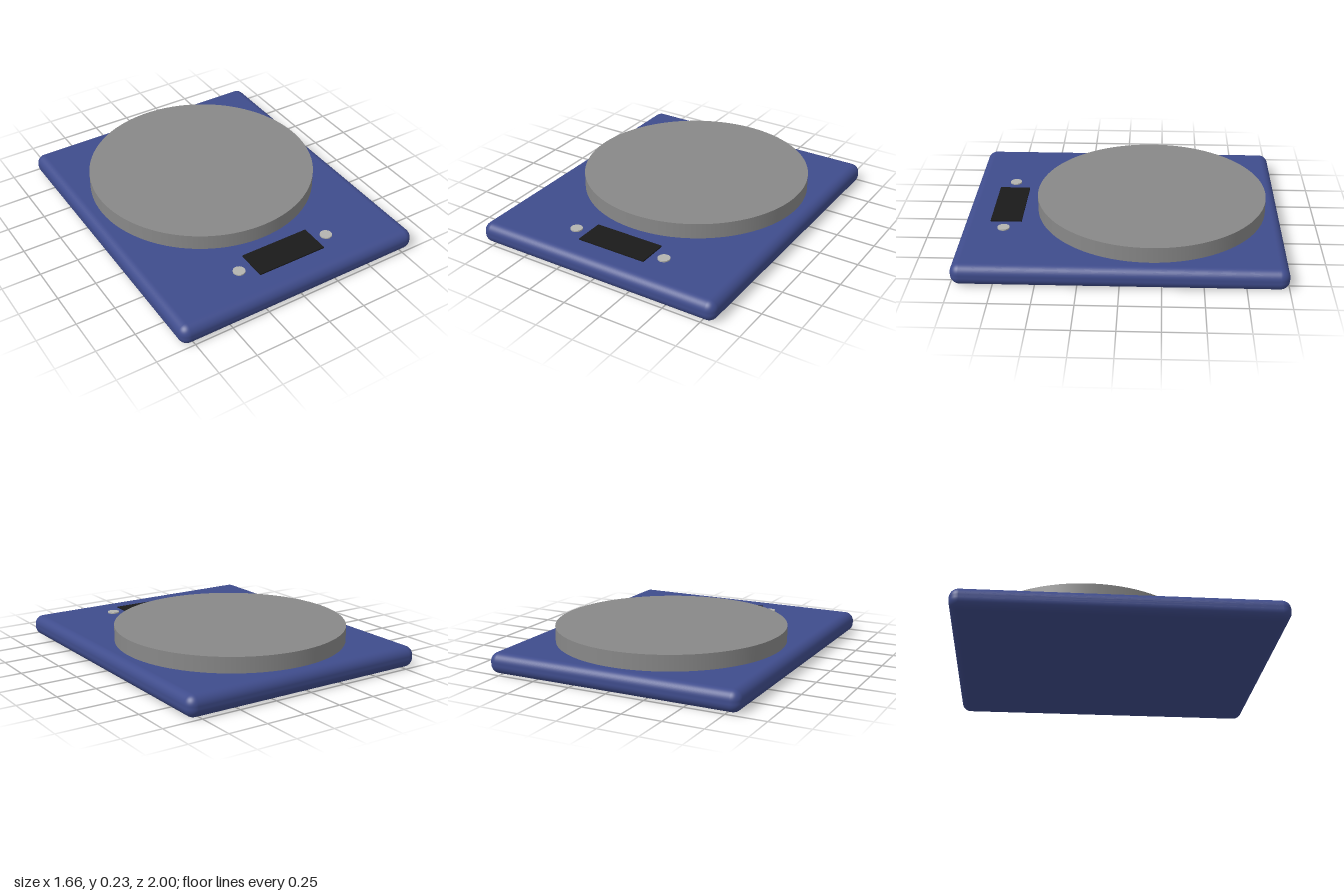
import * as THREE from 'three';
import { RoundedBoxGeometry } from 'three/addons/geometries/RoundedBoxGeometry.js';

const BODY_TOP = 0.133;

export function createModel() {
  const scale = new THREE.Group();
  scale.name = 'kitchenScale';

  const blue = new THREE.MeshStandardMaterial({ color: 0x3f4c8c });
  const steel = new THREE.MeshStandardMaterial({ color: 0x888888 });
  const black = new THREE.MeshStandardMaterial({ color: 0x1a1a1a });
  const silver = new THREE.MeshStandardMaterial({ color: 0xb4b4b0 });

  const add = (name, geometry, material, x, y, z) => {
    const mesh = new THREE.Mesh(geometry, material);
    mesh.name = name;
    mesh.position.set(x, y, z);
    scale.add(mesh);
  };

  // Base with softly rounded edges
  add('body', new RoundedBoxGeometry(1.662, BODY_TOP, 2, 6, 0.058), blue, 0, BODY_TOP / 2, 0);

  // Round weighing plate towards the back, sunk slightly into the base
  add('weighingPlate', new THREE.CylinderGeometry(0.732, 0.732, 0.11, 96), steel, 0.003, 0.177, -0.18);

  // Display window at the front
  add('display', new THREE.BoxGeometry(0.464, 0.02, 0.196), black, 0.029, 0.131, 0.733);

  // A button on each side of the display
  for (const [name, x] of [['rightButton', -0.292], ['leftButton', 0.344]]) {
    add(name, new THREE.CylinderGeometry(0.038, 0.038, 0.02, 32), silver, x, 0.131, 0.738);
  }

  return scale;
}
